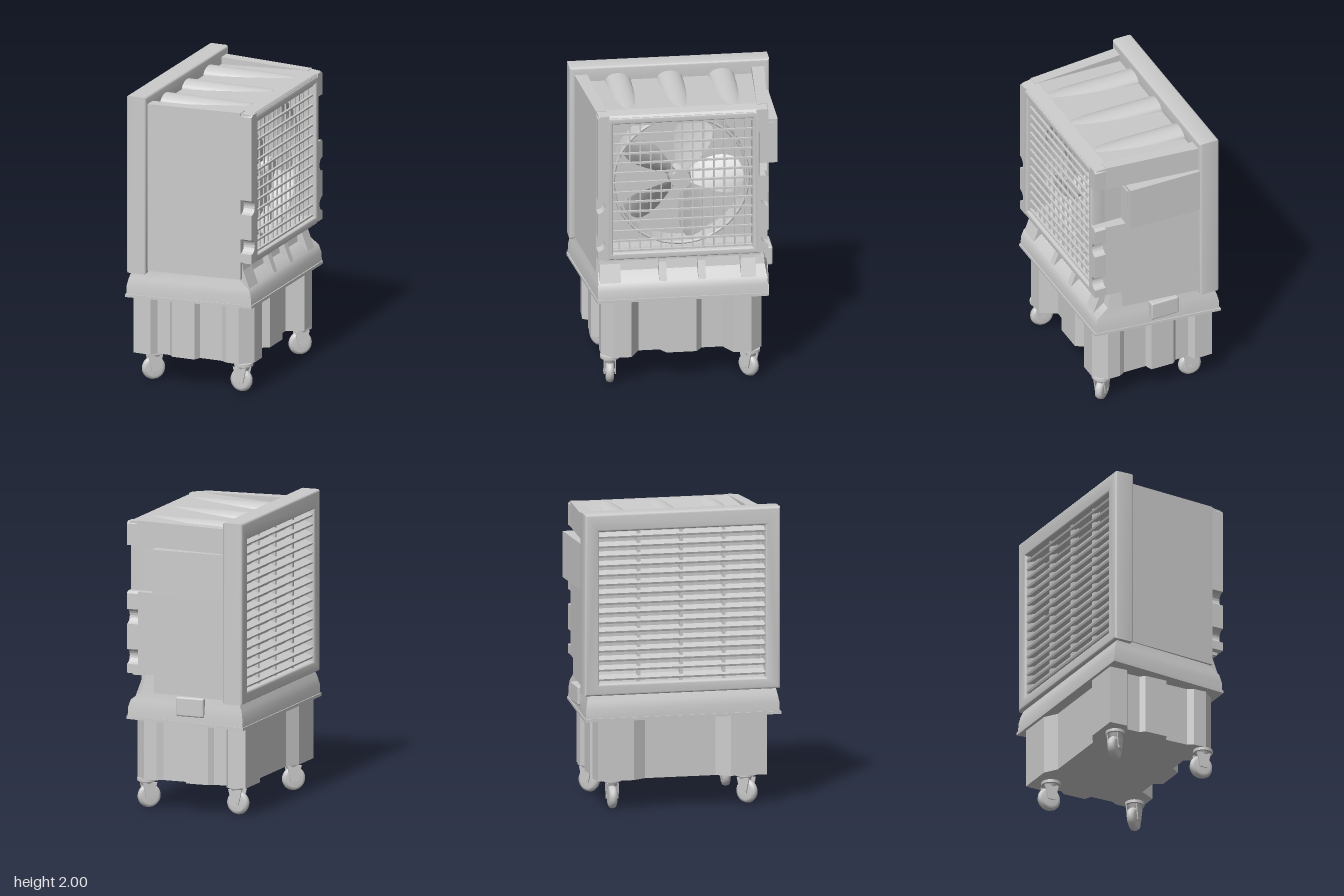
import * as THREE from 'three';
import { toCreasedNormals } from 'three/addons/utils/BufferGeometryUtils.js';
import { RoundedBoxGeometry } from 'three/addons/geometries/RoundedBoxGeometry.js';

const material = new THREE.MeshStandardMaterial({ color: 0xcccccc });
const sheet = new THREE.MeshStandardMaterial({ color: 0xcccccc, side: THREE.DoubleSide });

function add(parent, name, geometry, x = 0, y = 0, z = 0, mat = material) {
  const mesh = new THREE.Mesh(geometry, mat);
  mesh.name = name;
  mesh.position.set(x, y, z);
  parent.add(mesh);
  return mesh;
}
const box = (w, h, d) => new THREE.BoxGeometry(w, h, d);
const outline = (pts) => new THREE.Shape(pts.map(([x, y]) => new THREE.Vector2(x, y)));

// Prism from a plan outline of [x, z] points between two heights
function prism(pts, y0, y1) {
  const g = new THREE.ExtrudeGeometry(outline(pts.map(([x, z]) => [x, -z])), { depth: y1 - y0, bevelEnabled: false });
  return g.rotateX(-Math.PI / 2).translate(0, y0, 0);
}

// Rectangular ring in the xy plane, with rounded edges towards both faces
function ring(w, h, iw, ih, shiftY, depth, bevel) {
  const rect = (a, b, dy) => [[-a, dy - b], [a, dy - b], [a, dy + b], [-a, dy + b]];
  const shape = outline(rect(w / 2 - bevel, h / 2 - bevel, 0));
  shape.holes.push(new THREE.Path(outline(rect(iw / 2 + bevel, ih / 2 + bevel, shiftY)).getPoints().reverse()));
  const g = new THREE.ExtrudeGeometry(shape, {
    depth: depth - 2 * bevel, bevelThickness: bevel, bevelSize: bevel, bevelSegments: 3,
  });
  return toCreasedNormals(g.translate(0, 0, bevel - depth / 2), 0.6);
}

// Loft through tapered rectangles: [y, back half width, back z, front half width, front z]
function taperedLoft(levels) {
  const pos = [], idx = [];
  for (const [y, bx, bz, fx, fz] of levels) pos.push(-fx, y, fz, fx, y, fz, bx, y, bz, -bx, y, bz);
  for (let l = 0; l < levels.length - 1; l++) {
    for (let i = 0; i < 4; i++) {
      const a = l * 4 + i, b = l * 4 + (i + 1) % 4;
      idx.push(a, b, b + 4, a, b + 4, a + 4);
    }
  }
  const t = (levels.length - 1) * 4;
  idx.push(0, 2, 1, 0, 3, 2, t, t + 1, t + 2, t, t + 2, t + 3);
  const g = new THREE.BufferGeometry();
  g.setAttribute('position', new THREE.Float32BufferAttribute(pos, 3));
  g.setIndex(idx);
  return toCreasedNormals(g, 0.6);
}

// Side lip of the front frame on side s, notched by finger holes
function flange(s, y0, y1, notches) {
  const pts = [[s * 0.49, y0], [s * 0.568, y0]];
  for (const y of notches) {
    for (let i = 0; i <= 10; i++) {
      const a = Math.PI * i / 10;
      pts.push([s * (0.568 - 0.05 * Math.sin(a)), y - 0.05 * Math.cos(a)]);
    }
  }
  pts.push([s * 0.568, y1 - 0.015], [s * 0.55, y1], [s * 0.49, y1]);
  return new THREE.ExtrudeGeometry(outline(pts), { depth: 0.09, bevelEnabled: false });
}

// Side wall on side s, running forward from the rear frame to frontZ
function sideWall(s, frontZ, y0, y1) {
  const outer = 0.607 - 0.093 * frontZ;
  const pts = [[outer, frontZ], [0.5, frontZ], [0.55, -0.28], [0.635, -0.28]];
  return prism(pts.map(([x, z]) => [s * x, z]), y0, y1);
}

// Twisted fan blade reaching up from the hub
function blade() {
  const g = new THREE.PlaneGeometry(1, 1, 6, 10);
  const p = g.attributes.position;
  for (let i = 0; i < p.count; i++) {
    const t = p.getY(i) + 0.5, c = p.getX(i);
    const width = 0.1 + 0.17 * Math.sin(Math.min(1, t * 1.25) * Math.PI / 2) - 0.07 * t ** 6;
    const pitch = 0.85 - 0.45 * t;
    p.setXYZ(i, c * width * Math.cos(pitch) + 0.04 * t, 0.05 + 0.37 * t - 0.1 * c * c * t,
      c * width * Math.sin(pitch) - 0.06 * c * c);
  }
  g.computeVertexNormals();
  return g;
}

function caster(parent, name, x, z, yaw) {
  const g = new THREE.Group();
  g.name = name;
  g.position.set(x, 0, z);
  g.rotation.y = yaw;
  parent.add(g);
  add(g, 'casterPlate', new THREE.CylinderGeometry(0.065, 0.065, 0.02, 20), 0, 0.195, 0.015);
  add(g, 'casterSwivel', new THREE.CylinderGeometry(0.05, 0.035, 0.035, 20), 0, 0.17, 0.015);
  const tyre = [[0, -0.028], [0.055, -0.028], [0.073, -0.02], [0.08, 0], [0.073, 0.02], [0.055, 0.028], [0, 0.028]];
  add(g, 'casterWheel', new THREE.LatheGeometry(tyre.map(([a, b]) => new THREE.Vector2(a, b)), 28).rotateZ(Math.PI / 2), 0, 0.083, 0);
  const fork = outline([[-0.03, 0.07], [0.02, 0.07], [0.045, 0.175], [-0.055, 0.175]]);
  for (const s of [-1, 1]) {
    const geo = new THREE.ExtrudeGeometry(fork, { depth: 0.008, bevelEnabled: false }).rotateY(Math.PI / 2);
    add(g, 'casterFork', geo, s * 0.036 - 0.004, 0, 0);
  }
  add(g, 'casterAxle', new THREE.CylinderGeometry(0.012, 0.012, 0.085, 12).rotateZ(Math.PI / 2), 0, 0.083, 0);
}

export function createModel() {
  const model = new THREE.Group();
  model.name = 'evaporativeCooler';
  const turn = 0.881;
  const body = new THREE.Group();
  body.name = 'coolerBody';
  body.rotation.y = turn;
  model.add(body);

  // Water tank with recessed panels between its corner pillars
  const half = [[0, 0.4], [0.1, 0.4], [0.14, 0.34], [0.28, 0.34], [0.34, 0.45], [0.46, 0.45], [0.535, 0.37],
    [0.535, 0.28], [0.51, 0.24], [0.51, 0.08], [0.56, 0.06], [0.56, -0.1], [0.53, -0.13], [0.53, -0.22], [0.58, -0.25],
    [0.575, -0.375], [0.33, -0.375], [0.24, -0.32], [0, -0.32]];
  const tank = [...half, ...half.slice(1, -1).reverse().map(([x, z]) => [-x, z])];
  add(body, 'waterTank', prism(tank, 0.205, 0.62));

  // Flared skirt with its thin lip and the ribs under the grille
  add(body, 'skirtLip', taperedLoft([[0.61, 0.668, -0.395, 0.572, 0.482], [0.63, 0.668, -0.395, 0.572, 0.482]]));
  add(body, 'skirt', taperedLoft([[0.62, 0.66, -0.388, 0.568, 0.475], [0.69, 0.658, -0.386, 0.566, 0.472],
    [0.74, 0.648, -0.375, 0.562, 0.455], [0.8, 0.636, -0.35, 0.555, 0.38], [0.94, 0.63, -0.31, 0.545, 0.35]]));
  const rib = outline([[0.3, 0.64], [0.465, 0.64], [0.455, 0.74], [0.41, 0.86], [0.4, 0.93], [0.3, 0.93]]);
  for (const [x, w] of [[-0.48, 0.14], [-0.13, 0.05], [0.13, 0.05], [0.44, 0.1]]) {
    const g = new THREE.ExtrudeGeometry(rib, { depth: w, bevelEnabled: false }).rotateY(-Math.PI / 2);
    add(body, 'skirtRib', g, x + w / 2, 0, 0);
  }

  // Cabinet: inner block, side walls and the floor of the fan bay
  add(body, 'cabinet', prism([[-0.56, 0.2], [0.56, 0.2], [0.6, -0.21], [-0.6, -0.21]], 0.85, 1.87));
  add(body, 'rightWall', sideWall(-1, 0.4, 0.8, 1.95).scale(1, 1, 1), 0, 0, 0, sheet);
  add(body, 'leftFootWall', sideWall(1, 0.28, 0.8, 0.92));
  add(body, 'leftLowerWall', sideWall(1, 0.4, 0.92, 1.47));
  add(body, 'leftMiddleWall', sideWall(1, 0.262, 1.47, 1.78));
  add(body, 'leftUpperWall', sideWall(1, 0.4, 1.78, 1.95));
  add(body, 'cornerRecess', box(0.015, 0.31, 0.2), 0.502, 1.625, 0.35);
  add(body, 'fanBayFloor', box(1.04, 0.04, 0.28), 0, 0.92, 0.32);

  // Roof following the taper of the walls, sloping back, with three low ridges
  const profile = outline([[-0.475, 1.925], [-0.465, 1.94], [-0.38, 1.948], [0.26, 1.9], [0.26, 1.85], [-0.475, 1.88]]);
  const roof = new THREE.ExtrudeGeometry(profile, { depth: 1.12, bevelEnabled: false })
    .rotateY(Math.PI / 2).translate(-0.56, 0, 0);
  const rp = roof.attributes.position;
  for (let i = 0; i < rp.count; i++) rp.setX(i, rp.getX(i) * (1.07 - 0.15 * rp.getZ(i)));
  roof.computeVertexNormals();
  add(body, 'roof', roof);
  for (const x of [-0.345, 0, 0.345]) {
    const arch = new THREE.Shape();
    arch.moveTo(0.085, 0);
    arch.absellipse(0, 0, 0.085, 0.055, 0, Math.PI, false);
    arch.closePath();
    const g = new THREE.ExtrudeGeometry(arch, { depth: 0.64, bevelEnabled: false, curveSegments: 16 });
    add(body, 'roofRidge', g, x, 1.895, -0.26);
  }

  // Front frame with notched side lips
  add(body, 'frontFrame', ring(1.02, 1.01, 0.93, 0.92, 0, 0.11, 0.012), 0, 1.42, 0.425);
  add(body, 'rightLip', flange(-1, 0.92, 1.94, [1.03, 1.3]), 0, 0, 0.39);
  add(body, 'leftLowerLip', flange(1, 0.92, 1.47, [1.03, 1.3]), 0, 0, 0.39);
  add(body, 'leftUpperLip', flange(1, 1.78, 1.94, []), 0, 0, 0.39);

  // Grille bars
  for (let i = 0; i < 14; i++) {
    add(body, 'grilleBar', box(0.94, 0.012, 0.016), 0, 0.97 + i * 0.069, 0.45);
  }
  for (let i = 0; i < 13; i++) {
    add(body, 'grilleRod', box(0.01, 0.93, 0.01), -0.42 + i * 0.07, 1.42, 0.437);
  }

  // Fan in its round shroud
  const fan = new THREE.Group();
  fan.name = 'fan';
  fan.position.set(0, 1.42, 0.31);
  body.add(fan);
  add(fan, 'fanShroud', new THREE.CylinderGeometry(0.45, 0.45, 0.16, 48, 1, true).rotateX(Math.PI / 2), 0, 0, -0.03, sheet);
  add(fan, 'shroudRim', new THREE.TorusGeometry(0.45, 0.01, 8, 48), 0, 0, 0.05);
  add(fan, 'fanHub', new THREE.CylinderGeometry(0.065, 0.08, 0.12, 24).rotateX(Math.PI / 2));
  for (let i = 0; i < 5; i++) {
    add(fan, 'fanBlade', blade(), 0, 0, 0, sheet).rotation.z = -0.21 + i * Math.PI * 0.4;
  }

  // Rear frame with tilted louvres and their uprights
  add(body, 'rearFrame', ring(1.33, 1.22, 1.13, 1.02, -0.02, 0.14, 0.016), 0, 1.39, -0.316);
  for (let i = 0; i < 16; i++) {
    const slat = add(body, 'louvre', box(1.15, 0.014, 0.06), 0, 0.895 + i * 0.0637, -0.345);
    slat.rotation.x = -0.35;
  }
  for (const x of [-0.29, 0, 0.29]) add(body, 'louvreUpright', box(0.022, 1.04, 0.05), x, 1.37, -0.325);

  // Control box and access cover on the left side
  add(body, 'controlBox', prism([[0.5, 0.262], [0.657, 0.262], [0.657, -0.27], [0.5, -0.27]], 1.47, 1.78));
  add(body, 'controlPlate', box(0.095, 0.14, 0.015), 0.58, 1.69, 0.265);
  add(body, 'accessCover', new RoundedBoxGeometry(0.06, 0.13, 0.2, 2, 0.012), 0.615, 0.735, 0);

  // Swivelled casters
  caster(body, 'frontLeftCaster', 0.45, 0.37, Math.PI / 2 - turn);
  caster(body, 'frontRightCaster', -0.475, 0.365, Math.PI / 4 - turn);
  caster(body, 'rearLeftCaster', 0.452, -0.27, Math.PI / 4 - turn);
  caster(body, 'rearRightCaster', -0.463, -0.28, Math.PI / 2 - turn);
  return model;
}
